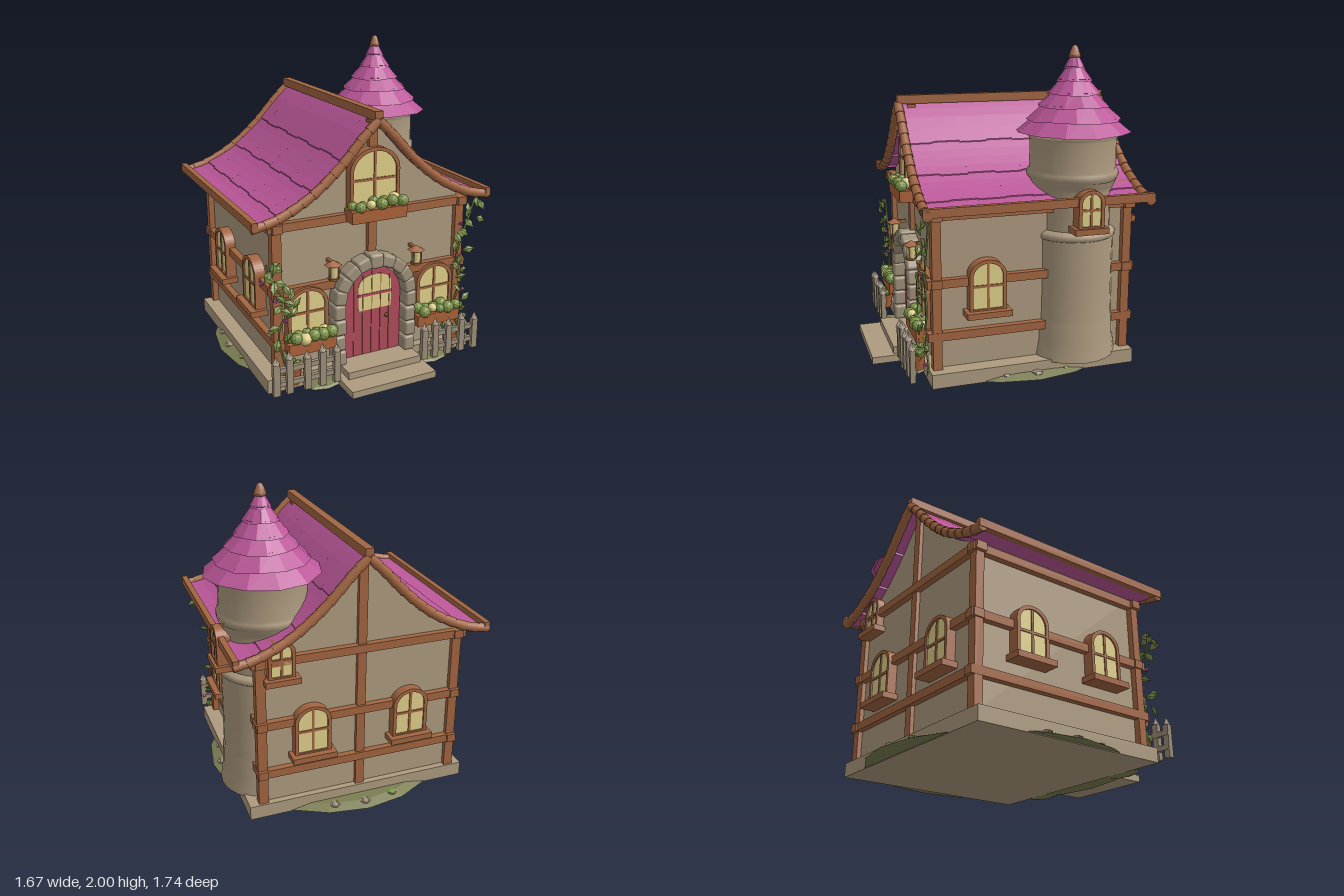
import * as THREE from 'three';
import { RoundedBoxGeometry } from 'three/addons/geometries/RoundedBoxGeometry.js';

const mat = (name, color, extra = {}) => Object.assign(new THREE.MeshStandardMaterial({ color, ...extra }), { name });
const M = {
  plaster: mat('tan plaster', 0xad9a7f, { side: THREE.DoubleSide }),
  stone: mat('grey stone', 0x9f917b),
  roof: mat('magenta tile', 0xbb5799, { flatShading: true, side: THREE.DoubleSide }),
  wood: mat('brown timber', 0xa26541),
  glass: mat('warm glass', 0xdfd08a),
  door: mat('red door', 0xb24c5d),
  leaf: mat('green leaf', 0x7f954a, { flatShading: true }),
  grass: mat('olive grass', 0x7b7e52, { flatShading: true }),
  clay: mat('terracotta', 0xab6239),
  fence: mat('weathered wood', 0x9c8e78),
};
const CX = -0.03, CZ = -0.08;      // house centre
const HW = 0.62, ZF = 0.52, ZB = -0.69; // wall half width, front and back faces
const TX = 0.475, TZ = -0.378;     // tower axis

let seed = 7;
const rnd = () => (seed = (seed * 16807) % 2147483647) / 2147483647;

function add(parent, name, geo, m, x = 0, y = 0, z = 0) {
  const mesh = new THREE.Mesh(geo, m);
  mesh.name = name;
  mesh.position.set(x, y, z);
  parent.add(mesh);
  return mesh;
}
function group(parent, name, x = 0, y = 0, z = 0) {
  const g = new THREE.Group();
  g.name = name;
  g.position.set(x, y, z);
  parent.add(g);
  return g;
}
// box given by its limits
const block = (p, name, m, x0, x1, y0, y1, z0, z1) =>
  add(p, name, new THREE.BoxGeometry(x1 - x0, y1 - y0, z1 - z0), m, (x0 + x1) / 2, (y0 + y1) / 2, (z0 + z1) / 2);
const extrude = (shape, depth, curveSegments = 10) =>
  new THREE.ExtrudeGeometry(shape, { depth, bevelEnabled: false, curveSegments });
// arched outline standing on y = base
function arch(w, h, rise, base = 0, Type = THREE.Shape) {
  const s = new Type();
  s.moveTo(-w / 2, base).lineTo(w / 2, base).lineTo(w / 2, h - rise);
  s.absellipse(0, h - rise, w / 2, rise, 0, Math.PI, false);
  return s;
}

// Roof slope: distance from the ridge -> height
const slope = new THREE.SplineCurve([[0, 1.635], [0.1, 1.54], [0.25, 1.38], [0.44, 1.225], [0.65, 1.12], [0.8, 1.09]]
  .map(p => new THREE.Vector2(...p)));

function windowUnit(parent, name, x, y, z, turn, w, h, depth = 0.05, sill = 0.04) {
  const g = group(parent, name, x, y, z);
  g.rotation.y = turn;
  const frame = arch(w, h, w * 0.42), t = 0.022;
  frame.holes.push(arch(w - 2 * t, h - t, w * 0.42 - t * 0.6, t, THREE.Path));
  add(g, 'windowFrame', extrude(frame, depth), M.wood);
  add(g, 'windowPane', extrude(arch(w - t, h - t / 2, w * 0.4, t / 2), 0.008), M.glass, 0, 0, depth - 0.018);
  block(g, 'mullion', M.wood, -0.008, 0.008, t, h - t / 2, depth - 0.025, depth - 0.004);
  block(g, 'glazingBar', M.wood, -w / 2 + t, w / 2 - t, h * 0.5 - 0.008, h * 0.5 + 0.008, depth - 0.025, depth - 0.004);
  if (sill) block(g, 'windowSill', M.wood, -w / 2 - 0.025, w / 2 + 0.025, -0.025, 0.012, 0, depth + sill);
}

function flowerBox(parent, x, y, w) {
  const g = group(parent, 'flowerBox', x, y, 0.595);
  block(g, 'planter', M.clay, -w / 2, w / 2, -0.037, 0.037, -0.06, 0.05);
  for (let i = 0; i < 10; i++) {
    const s = 0.028 + rnd() * 0.014;
    add(g, 'foliage', new THREE.IcosahedronGeometry(s, 1), i % 5 === 3 ? M.glass : M.leaf,
      (i / 9 - 0.5) * (w - 0.05), 0.05 + rnd() * 0.025, (i % 2) * 0.04 - 0.005);
  }
}

function buildWalls(root) {
  const s = new THREE.Shape(), top = [];
  for (let i = 0; i <= 16; i++) top.push(slope.getPoint(i / 16 * 0.77));
  s.moveTo(CX - HW, 0.08).lineTo(CX + HW, 0.08);
  top.slice().reverse().forEach(p => s.lineTo(CX + p.x, p.y - 0.03));
  top.forEach(p => s.lineTo(CX - p.x, p.y - 0.03));
  add(root, 'houseWalls', extrude(s, ZF - ZB), M.plaster, 0, 0, ZB);

  // timber frame; the lower front beams stop at the doorway
  const g = group(root, 'timberFrame');
  for (const sx of [-1, 1]) for (const z of [0.527, -0.69])
    block(g, 'cornerPost', M.wood, CX + sx * 0.63 - 0.03, CX + sx * 0.63 + 0.03, 0.09, 1.05, z - 0.028, z + 0.028);
  for (const [y, over, gap] of [[1.042, 0.685, 0], [0.632, 0.67, 0.22], [0.303, 0.66, 0.22]]) {
    block(g, 'backBeam', M.wood, CX - over, CX + over, y - 0.026, y + 0.026, -0.73, -0.66);
    for (const sx of [-1, 1]) {
      const a = CX + sx * gap, b = CX + sx * over;
      block(g, 'frontBeam', M.wood, Math.min(a, b), Math.max(a, b), y - 0.026, y + 0.026, 0.495, 0.56);
      block(g, 'sideBeam', M.wood, CX + sx * 0.632 - 0.03, CX + sx * 0.632 + 0.03, y - 0.026, y + 0.026, -0.74, 0.585);
    }
  }
  block(g, 'frontPost', M.wood, CX - 0.028, CX + 0.028, 0.78, 1.62, 0.5, 0.55);
  block(g, 'backPost', M.wood, CX - 0.028, CX + 0.028, 0.09, 1.6, -0.715, -0.67);
}

function buildRoof(root) {
  const g = group(root, 'mainRoof');
  const rows = [0, 0.36, 0.57, 0.77, 1], cols = 8, z0 = -0.77, dz = (0.61 - z0) / cols;
  for (const sx of [-1, 1]) {
    // overlapping tile courses, each lifting toward its lower edge
    for (let r = 0; r < 4; r++) for (let c = 0; c < cols; c++) {
      const end = Math.min(1, rows[r + 1] + ((c + r) % 2) * 0.008), pts = [], under = [];
      for (let k = 0; k <= 4; k++) {
        const p = slope.getPoint(rows[r] + (end - rows[r]) * k / 4);
        pts.push(new THREE.Vector2(sx * p.x, p.y - 0.01 + 0.007 * k / 4));
        under.unshift(new THREE.Vector2(sx * p.x, p.y - 0.03 + 0.016 * k / 4));
      }
      add(g, 'roofTile', extrude(new THREE.Shape([...pts, ...under]), dz), M.roof, CX, 0, z0 + c * dz);
    }
    // segmented log trim along both gables
    const n = 12;
    for (const z of [0.606, -0.775]) for (let i = 0; i < n; i++) {
      const a = slope.getPointAt(i / n), b = slope.getPointAt((i + 1) / n), len = a.distanceTo(b);
      const log = add(g, 'gableTrim', new THREE.CylinderGeometry(0.027, 0.032, len * 1.04, 8), M.wood,
        CX + sx * (a.x + b.x) / 2, (a.y + b.y) / 2 - 0.01, z);
      log.rotation.z = Math.atan2(sx * (b.x - a.x), a.y - b.y);
    }
    block(g, 'eaveBeam', M.wood, CX + sx * 0.787 - 0.018, CX + sx * 0.787 + 0.018, 1.073, 1.125, -0.8, 0.635);
  }
  block(g, 'ridgeBeam', M.wood, CX - 0.026, CX + 0.026, 1.625, 1.68, -0.785, 0.615);
}

function buildTower(root) {
  const g = group(root, 'tower', TX, 0, TZ);
  const lathe = (pts, n) => new THREE.LatheGeometry(pts.map(p => new THREE.Vector2(...p)), n);
  add(g, 'towerShaft', lathe([[0.285, 0.08], [0.28, 0.12], [0.268, 0.2], [0.264, 0.325], [0.256, 0.335], [0.253, 0.6], [0.254, 0.845]], 28), M.plaster, 0.018);
  add(g, 'towerBand', lathe([[0.25, 0.84], [0.264, 0.85], [0.267, 0.87], [0.258, 0.885], [0.232, 0.9]], 28), M.plaster, 0.016);
  add(g, 'towerNeck', lathe([[0.235, 0.89], [0.235, 1.12], [0.255, 1.16], [0.272, 1.2]], 28), M.plaster, 0.008);
  add(g, 'towerDrum', lathe([[0.262, 1.185], [0.283, 1.215], [0.283, 1.245], [0.268, 1.258], [0.266, 1.44], [0.28, 1.455], [0.28, 1.48], [0, 1.49]], 28), M.plaster);
  // stacked skirts, each [lower radius, lower y, upper radius, upper y]
  const skirts = [[0.355, 1.485, 0.225, 1.585], [0.29, 1.56, 0.165, 1.665], [0.222, 1.64, 0.115, 1.735],
    [0.165, 1.712, 0.068, 1.82], [0.11, 1.79, 0.036, 1.89], [0.066, 1.865, 0.022, 1.94]];
  skirts.forEach(([r0, y0, r1, y1], i) => {
    const geo = new THREE.CylinderGeometry(r1, r0, y1 - y0, 12, 1, true), p = geo.attributes.position;
    for (let k = 0; k < 13; k++)         // uneven lower hem
      p.setY(13 + k, p.getY(13 + k) - (k % 12 * 5 + i * 3) % 4 * 0.003);
    add(g, 'towerRoofSkirt', geo, M.roof, 0, (y0 + y1) / 2, 0).rotation.y = i * 0.2;
    // turned-under lip closing each skirt
    add(g, 'skirtLip', new THREE.CylinderGeometry(r0 * 0.94, r0 * 0.8, 0.012, 12, 1, true), M.roof, 0, y0 + 0.002, 0).rotation.y = i * 0.2;
  });
  add(g, 'finial', lathe([[0, 1.91], [0.042, 1.925], [0.036, 1.945], [0.018, 1.99], [0, 2]], 4), M.wood);
}

function buildDoor(root) {
  const g = group(root, 'entrance', CX, 0, ZF);
  add(g, 'door', extrude(arch(0.41, 0.7, 0.2, 0.1), 0.03), M.door);
  add(g, 'doorPane', extrude(arch(0.23, 0.645, 0.07, 0.41), 0.006), M.glass, 0.022, 0, 0.028);
  block(g, 'doorPaneBar', M.door, -0.095, 0.139, 0.505, 0.522, 0.03, 0.038);
  for (let i = -2; i <= 2; i++)
    block(g, 'plankSeam', M.wood, i * 0.062 - 0.0025, i * 0.062 + 0.0025, 0.11, 0.67 - Math.abs(i) * 0.022, 0.029, 0.036);
  add(g, 'doorKnob', new THREE.OctahedronGeometry(0.018), M.wood, 0.1, 0.355, 0.045);
  // stone surround
  const stone = (x, y, w, h, a) => {
    const m = add(g, 'archStone', new RoundedBoxGeometry(w, h, 0.11, 2, 0.018), M.stone, x, y, 0.05);
    m.rotation.z = a;
  };
  for (const sx of [-1, 1]) for (let i = 0; i < 4; i++) stone(sx * (0.243 + (i % 2) * 0.006), 0.15 + i * 0.103, 0.078, 0.1, 0);
  for (let i = 0; i < 9; i++) {
    const a = Math.PI * (i + 0.5) / 9;
    stone(Math.cos(a) * 0.243, 0.51 + Math.sin(a) * 0.243, i === 4 ? 0.095 : 0.08, 0.094, a);
  }
  block(root, 'upperStep', M.plaster, -0.275, 0.235, 0.016, 0.105, 0.5, 0.725);
  block(root, 'lowerStep', M.plaster, -0.32, 0.262, 0.016, 0.06, 0.5, 0.865);
  // lanterns either side
  for (const x of [-0.32, 0.255]) {
    const l = group(root, 'lantern', x, 0.735, 0.6);
    add(l, 'lanternGlass', new THREE.CylinderGeometry(0.033, 0.026, 0.09, 6), M.glass);
    add(l, 'lanternCap', new THREE.ConeGeometry(0.056, 0.032, 6), M.wood, 0, 0.058, 0);
    add(l, 'lanternFoot', new THREE.CylinderGeometry(0.036, 0.032, 0.015, 6), M.wood, 0, -0.046, 0);
    for (let i = 0; i < 3; i++) {
      const a = i * Math.PI * 2 / 3 + Math.PI / 3;
      add(l, 'lanternBar', new THREE.BoxGeometry(0.008, 0.09, 0.008), M.wood, Math.sin(a) * 0.032, 0, Math.cos(a) * 0.032);
    }
    block(l, 'lanternBracket', M.wood, -0.01, 0.01, 0.04, 0.06, -0.09, 0);
  }
}

function buildGarden(root) {
  block(root, 'foundation', M.plaster, -0.745, 0.69, 0.005, 0.094, -0.73, 0.577);
  add(root, 'lawn', new THREE.CylinderGeometry(0.74, 0.8, 0.024, 20), M.grass, CX, 0.022, CZ + 0.005);
  for (const x of [-0.4, 0.36])
    add(root, 'grassMound', new THREE.SphereGeometry(0.12, 8, 6), M.grass, x, 0.022, 0.62).scale.set(1.1, 0.2, 0.7);
  for (let i = 0; i < 12; i++) {
    const a = (Math.floor(i / 3) + (i % 3 - 1) * 0.17) * Math.PI / 2;
    add(root, 'lawnStone', new THREE.DodecahedronGeometry(0.025 + rnd() * 0.014), i % 3 ? M.stone : M.leaf,
      CX + Math.cos(a) * 0.735, 0.03, CZ + Math.sin(a) * 0.735).scale.y = 0.4;
  }
  // picket fence and pots
  for (const xs of [[-0.735, -0.65, -0.535, -0.435, -0.34], [0.28, 0.36, 0.46, 0.56, 0.66]]) {
    const g = group(root, 'fence', 0, 0, 0.69);
    xs.forEach((x, i) => {
      const h = 0.21 + (i % 2) * 0.02;
      block(g, 'picket', M.fence, x - 0.021, x + 0.021, 0.055, 0.05 + h, -0.016, 0.016);
      add(g, 'picketTip', new THREE.ConeGeometry(0.027, 0.05, 4), M.fence, x, 0.075 + h, 0);
    });
    for (const y of [0.12, 0.21]) block(g, 'fenceRail', M.fence, xs[0] - 0.02, xs[4] + 0.02, y - 0.016, y + 0.016, -0.02, 0.004);
  }
  for (const x of [-0.595, 0.515]) {
    add(root, 'flowerPot', new THREE.CylinderGeometry(0.05, 0.034, 0.1, 10), M.clay, x, 0.12, 0.625);
    for (let i = 0; i < 5; i++)
      add(root, 'potPlant', new THREE.IcosahedronGeometry(0.03, 0), M.leaf, x + Math.cos(i * 1.26) * 0.034, 0.19 + (i % 2) * 0.02, 0.625 + Math.sin(i * 1.26) * 0.032);
  }
  // climbing vines at the front corners
  const vines = [[[-0.74, 0.85], [-0.72, 0.75], [-0.65, 0.64], [-0.61, 0.54], [-0.67, 0.4], [-0.63, 0.15]],
    [[0.69, 1.05], [0.65, 0.92], [0.6, 0.8], [0.57, 0.64], [0.6, 0.48], [0.56, 0.3], [0.63, 0.12]]];
  for (const path of vines) {
    const curve = new THREE.CatmullRomCurve3(path.map(p => new THREE.Vector3(p[0], p[1], 0.585)));
    const g = group(root, 'vine');
    add(g, 'vineStem', new THREE.TubeGeometry(curve, 30, 0.007, 5), M.leaf);
    for (let i = 0; i < 28; i++) {
      const p = curve.getPoint(i / 27), flower = i % 7 === 5;
      const m = add(g, flower ? 'vineFlower' : 'vineLeaf', new THREE.OctahedronGeometry(flower ? 0.016 : 0.042), flower ? M.roof : M.leaf,
        p.x + (rnd() - 0.5) * 0.13, p.y + (rnd() - 0.5) * 0.03, 0.59 + rnd() * 0.045);
      if (!flower) m.scale.set(1, 0.55, 0.2);
      m.rotation.set(rnd() - 0.8, rnd() - 0.5, rnd() * 3);
    }
  }
}

export function createModel() {
  const root = new THREE.Group();
  root.name = 'cottage';
  buildGarden(root);
  buildWalls(root);
  buildRoof(root);
  buildTower(root);
  buildDoor(root);
  // front windows with flower boxes
  for (const x of [-0.475, 0.415]) {
    windowUnit(root, 'frontWindow', x, 0.33, ZF, 0, 0.265, 0.32, 0.06, 0);
    flowerBox(root, x, 0.295, 0.31);
  }
  windowUnit(root, 'gableWindow', CX, 1.07, ZF, 0, 0.335, 0.39, 0.06, 0);
  flowerBox(root, CX, 1.062, 0.37);
  // side, back and tower windows
  const q = Math.PI / 2;
  windowUnit(root, 'rightSideWindow', CX + HW, 0.44, 0.22, q, 0.23, 0.325, 0.07);
  for (const z of [-0.34, 0.22]) windowUnit(root, 'leftSideWindow', CX - HW, 0.44, z, -q, 0.23, 0.325, 0.07);
  for (const x of [-0.35, 0.29]) windowUnit(root, 'backWindow', x, 0.4, ZB, Math.PI, 0.23, 0.325, 0.06);
  windowUnit(root, 'towerSideWindow', 0.69, 0.93, TZ, q, 0.165, 0.24, 0.098, 0.018);
  windowUnit(root, 'towerBackWindow', TX, 0.93, -0.67, Math.PI, 0.165, 0.24, 0.07, 0.03);
  return root;
}
